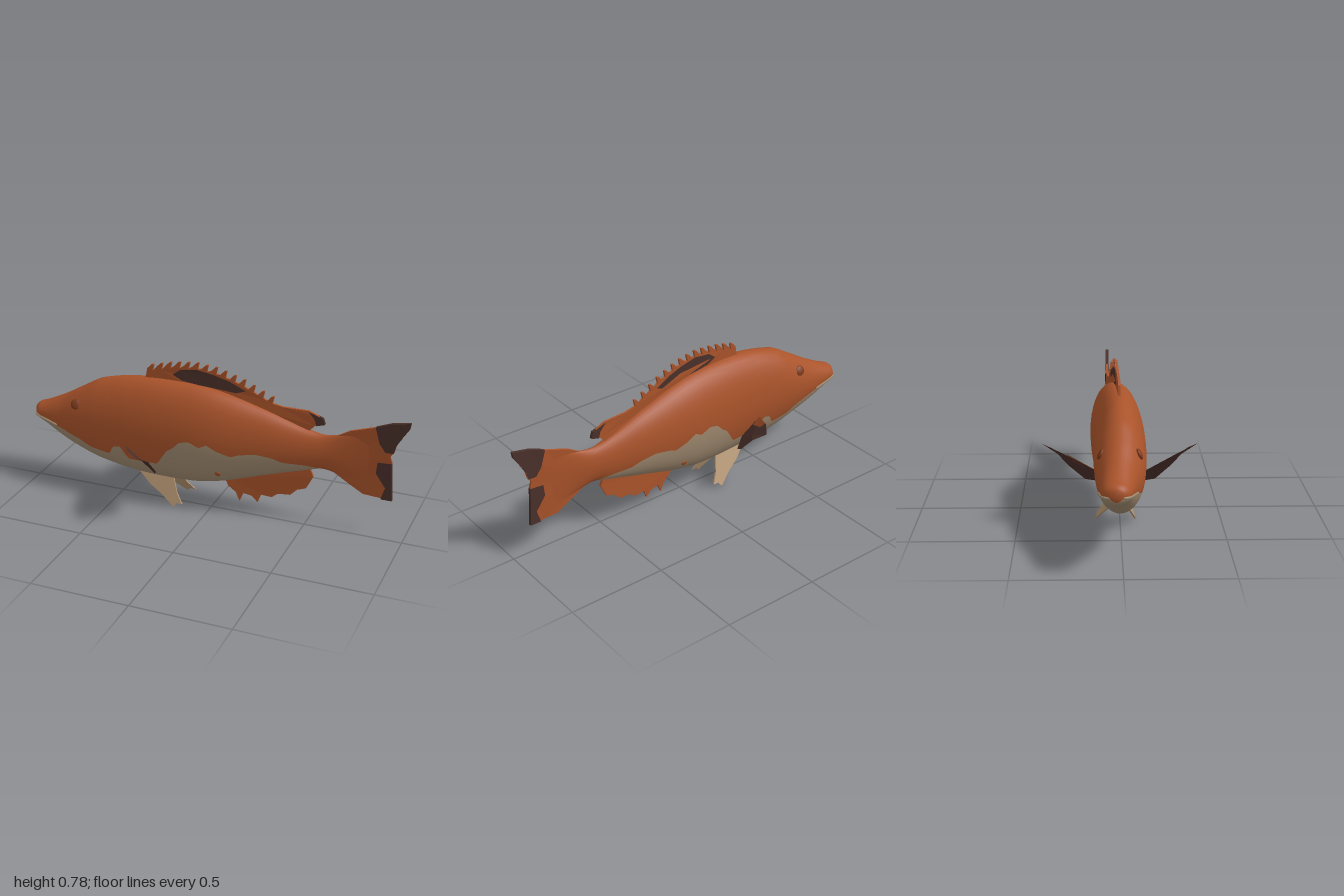
import * as THREE from 'three';

const mat = (name, color, side = THREE.FrontSide) => {
  const m = new THREE.MeshStandardMaterial({ color, side });
  m.name = name;
  return m;
};

// Body stations: x, top y, bottom y, half width, centre z
const STATIONS = [
  [-1, 0.415, 0.36, 0.028, -0.03], [-0.98, 0.43, 0.342, 0.055, -0.03],
  [-0.94, 0.445, 0.325, 0.07, -0.028], [-0.82, 0.505, 0.26, 0.092, -0.018],
  [-0.72, 0.565, 0.22, 0.11, -0.01], [-0.6, 0.63, 0.18, 0.12, -0.007],
  [-0.37, 0.675, 0.145, 0.125, -0.005], [-0.1, 0.675, 0.14, 0.127, -0.015],
  [0.06, 0.65, 0.165, 0.118, -0.025], [0.28, 0.585, 0.23, 0.087, -0.042],
  [0.49, 0.51, 0.29, 0.05, -0.054], [0.58, 0.495, 0.31, 0.033, -0.056],
  [0.7, 0.525, 0.275, 0.015, -0.054], [0.8, 0.55, 0.235, 0.006, -0.052],
  [0.86, 0.56, 0.24, 0.002, -0.05],
];
// Upper edge of the pale belly: x, y
const BELLY = [
  [-1, 0.375], [-0.9, 0.36], [-0.82, 0.345], [-0.7, 0.31], [-0.64, 0.275], [-0.53, 0.257],
  [-0.5, 0.31], [-0.46, 0.32], [-0.42, 0.25], [-0.26, 0.25], [-0.2, 0.34], [-0.17, 0.36],
  [-0.13, 0.4], [-0.08, 0.41], [-0.03, 0.385], [0.01, 0.405], [0.06, 0.375], [0.13, 0.35],
  [0.17, 0.365], [0.25, 0.375], [0.33, 0.36], [0.38, 0.338], [0.49, 0.33], [0.57, 0.312], [1, 0.2],
];
const CREST = [[-0.34, 0.745], [-0.22, 0.775], [-0.1, 0.787], [0.02, 0.772], [0.15, 0.725], [0.32, 0.64]];

// Reads column k of a table at x, linear or smooth
function sample(table, x, k, smooth = false) {
  let i = 0;
  while (i < table.length - 2 && x > table[i + 1][0]) i++;
  const a = table[i], b = table[i + 1], h = b[0] - a[0];
  const t = THREE.MathUtils.clamp((x - a[0]) / h, 0, 1);
  if (!smooth) return a[k] + (b[k] - a[k]) * t;
  const p = table[Math.max(i - 1, 0)], n = table[Math.min(i + 2, table.length - 1)];
  const ma = h * (b[k] - p[k]) / (b[0] - p[0]), mb = h * (n[k] - a[k]) / (n[0] - a[0]);
  const t2 = t * t, t3 = t2 * t;
  return (2 * t3 - 3 * t2 + 1) * a[k] + (t3 - 2 * t2 + t) * ma + (3 * t2 - 2 * t3) * b[k] + (t3 - t2) * mb;
}
const section = (x) => {
  const [top, bottom, w, zc] = [1, 2, 3, 4].map((k) => sample(STATIONS, x, k, true));
  return { yc: (top + bottom) / 2, h: (top - bottom) / 2, w, zc };
};
const midZ = (x) => sample(STATIONS, x, 4);
// Point on the body side at x, y
const onSkin = (x, y, side, out = 0) => {
  const s = section(x), c = THREE.MathUtils.clamp((y - s.yc) / s.h, -1, 1);
  return new THREE.Vector3(x, y, s.zc + side * (s.w * Math.sqrt(1 - c * c) + out));
};

// Lofted body whose rings are split along the belly edge
function bodyGeometry() {
  const UP = 11, LOW = 8, HALF = UP + LOW, RING = HALF * 2, COUNT = 150;
  const pos = [], back = [], belly = [];
  for (let i = 0; i <= COUNT; i++) {
    const u = i / COUNT, x = -1 + 1.86 * (0.85 * u + 0.15 * u * u);
    const { yc, h, w, zc } = section(x);
    const edge = Math.acos(THREE.MathUtils.clamp((sample(BELLY, x, 1) - yc) / h, -0.98, 0.9));
    for (let j = 0; j < RING; j++) {
      const k = j <= HALF ? j : RING - j;
      const t = k <= UP ? edge * k / UP : edge + (Math.PI - edge) * (k - UP) / LOW;
      pos.push(x, yc + h * Math.cos(t), zc + w * Math.sin(t) * (j <= HALF ? 1 : -1));
      if (i === COUNT) continue;
      const a = i * RING + j, c = i * RING + (j + 1) % RING;
      const pale = j >= UP && j < RING - UP && x < 0.57;
      (pale ? belly : back).push(a, c, a + RING, c, c + RING, a + RING);
    }
  }
  // Snout cap
  const s = section(-1), tip = pos.length / 3;
  pos.push(-1, s.yc, s.zc);
  for (let j = 0; j < RING; j++) back.push(tip, (j + 1) % RING, j);
  const g = new THREE.BufferGeometry();
  g.setAttribute('position', new THREE.Float32BufferAttribute(pos, 3));
  g.setIndex([...back, ...belly]);
  g.addGroup(0, back.length, 0);
  g.addGroup(back.length, belly.length, 1);
  g.computeVertexNormals();
  return g;
}

// Thin fin from an x, y outline, bent to follow zAt(x, y)
function finGeometry(points, thick, zAt) {
  const shape = new THREE.Shape(points.map(([x, y]) => new THREE.Vector2(x, y)));
  const g = new THREE.ExtrudeGeometry(shape, { depth: thick, bevelEnabled: false });
  const p = g.attributes.position;
  for (let i = 0; i < p.count; i++) p.setZ(i, p.getZ(i) - thick / 2 + zAt(p.getX(i), p.getY(i)));
  g.computeVertexNormals();
  return g;
}

// Fan of triangles around the centre of a 3D outline
function fanGeometry(points, side) {
  const mid = [0, 1, 2].map((k) => points.reduce((s, p) => s + p[k], 0) / points.length);
  const pos = [];
  points.forEach((p, i) => pos.push(...mid, ...p, ...points[(i + 1) % points.length]));
  const g = new THREE.BufferGeometry();
  g.setAttribute('position', new THREE.Float32BufferAttribute(pos, 3));
  g.scale(1, 1, side);
  g.computeVertexNormals();
  return g;
}

export function createModel() {
  const fish = new THREE.Group();
  fish.name = 'fish';
  const orange = mat('rust orange', 0xa9532a);
  const pale = mat('pale belly', 0xa08a70);
  const dark = mat('dark brown', 0x4a302a);
  const darkFin = mat('dark fin', 0x4a2f2a, THREE.DoubleSide);
  const orangeFin = mat('orange fin', 0xa04e27, THREE.DoubleSide);
  const tan = mat('tan fin', 0xb0916e, THREE.DoubleSide);
  const brown = mat('eye brown', 0x7c3a1c);
  const add = (name, geometry, material) => {
    const m = new THREE.Mesh(geometry, material);
    m.name = name;
    fish.add(m);
    return m;
  };

  add('body', bodyGeometry(), [orange, pale]);

  // Spiny dorsal fin with backswept tips
  const dorsal = [[-0.36, 0.66]];
  const SPINES = 14;
  for (let i = 0; i < SPINES; i++) {
    const x = -0.335 + i * 0.048, y = sample(CREST, x, 1);
    dorsal.push([x - 0.012, y - 0.022], [x + 0.012, y + 0.003], [x + 0.024, y + 0.004], [x + 0.016, y - 0.032]);
  }
  dorsal.push([0.36, 0.612], [0.49, 0.61], [0.56, 0.58], [0.57, 0.55], [0.52, 0.535], [0.49, 0.5],
    [0.3, 0.55], [0.1, 0.6], [-0.1, 0.64]);
  add('dorsalFin', finGeometry(dorsal, 0.012, midZ), orange);
  const patches = {
    dorsalPatch: [[-0.21, 0.71], [-0.17, 0.74], [-0.08, 0.752], [0.01, 0.735], [0.09, 0.71], [0.17, 0.672],
      [0.12, 0.655], [0.03, 0.665], [-0.07, 0.672], [-0.16, 0.685]],
    dorsalEnd: [[0.49, 0.605], [0.562, 0.581], [0.572, 0.55], [0.53, 0.537], [0.52, 0.57]],
    tailTipUpper: [[0.825, 0.583], [0.9, 0.613], [0.995, 0.632], [0.99, 0.6], [0.955, 0.545], [0.93, 0.5],
      [0.92, 0.46], [0.88, 0.46], [0.85, 0.5]],
    tailTipLower: [[0.845, 0.4], [0.915, 0.405], [0.92, 0.3], [0.927, 0.205], [0.87, 0.205], [0.89, 0.27], [0.84, 0.34]],
  };
  for (const [name, pts] of Object.entries(patches)) add(name, finGeometry(pts, 0.0165, midZ), dark);

  // Tail fin with ragged trailing edge
  add('tailFin', finGeometry([[0.6, 0.48], [0.7, 0.54], [0.835, 0.585], [0.9, 0.61], [0.99, 0.63], [0.985, 0.6],
    [0.965, 0.575], [0.955, 0.54], [0.935, 0.52], [0.925, 0.47], [0.905, 0.44], [0.915, 0.41], [0.91, 0.33],
    [0.92, 0.28], [0.925, 0.208], [0.85, 0.212], [0.78, 0.215], [0.7, 0.26], [0.6, 0.32]], 0.012, midZ), orange);

  // Anal fin
  add('analFin', finGeometry([[0.06, 0.2], [0.085, 0.14], [0.125, 0.11], [0.145, 0.062], [0.165, 0.11],
    [0.21, 0.1], [0.24, 0.07], [0.258, 0.115], [0.315, 0.11], [0.345, 0.135], [0.41, 0.14], [0.445, 0.175],
    [0.49, 0.19], [0.525, 0.26], [0.5, 0.32], [0.3, 0.28]], 0.012, (x) => midZ(x) + 0.006), orange);

  // Paired fins, eyes and side spots
  const pectoral = [[-0.43, 0.33, 0.11], [-0.34, 0.39, 0.27], [-0.25, 0.415, 0.375], [-0.2, 0.38, 0.33],
    [-0.195, 0.29, 0.25], [-0.24, 0.235, 0.17], [-0.32, 0.25, 0.11]];
  const pelvic = [[-0.4, 0.165], [-0.32, 0.1], [-0.25, 0.06], [-0.18, 0.01], [-0.165, 0.03], [-0.135, 0.03],
    [-0.17, 0.08], [-0.2, 0.16]];
  for (const side of [1, -1]) {
    const label = side > 0 ? 'Front' : 'Back';
    add('pectoralFin' + label, fanGeometry(pectoral, side), darkFin);
    add('pelvicFin' + label, finGeometry(pelvic, 0.008, (x, y) => (side > 0
      ? 0.03 + 0.35 * (0.14 - y) : -0.05 - 0.55 * (0.14 - y))), tan);
    for (const [name, x, y, r, m] of [['eye', -0.72, 0.497, 0.027, brown], ['pupil', -0.725, 0.5, 0.013, dark],
      ['sideSpot', 0.055, 0.235, 0.017, orange]]) {
      const d = add(name + label, new THREE.SphereGeometry(r, 16, 10), m);
      d.scale.z = name === 'eye' ? 0.4 : 0.25;
      d.position.copy(onSkin(x, y, side, name === 'pupil' ? 0.008 : 0));
      const up = onSkin(x, y + 0.02, side).sub(onSkin(x, y - 0.02, side));
      d.rotation.x = Math.atan2(up.z, up.y);
    }
  }
  // Orange leading edge on the back pectoral fin
  add('pectoralEdge', fanGeometry([[-0.432, 0.332, 0.11], [-0.34, 0.394, 0.265], [-0.33, 0.355, 0.23],
    [-0.37, 0.315, 0.14]], -1), orangeFin);

  // Lips wrapping the snout
  const lip = [];
  for (const side of [1, -1]) {
    const half = [-0.84, -0.9, -0.95, -0.985].map((x) => onSkin(x, sample(BELLY, x, 1) + 0.004, side));
    lip.push(...(side > 0 ? half : half.reverse()));
    if (side > 0) lip.push(new THREE.Vector3(-0.993, 0.378, -0.03));
  }
  add('lips', new THREE.TubeGeometry(new THREE.CatmullRomCurve3(lip), 40, 0.007, 6), pale);

  return fish;
}
